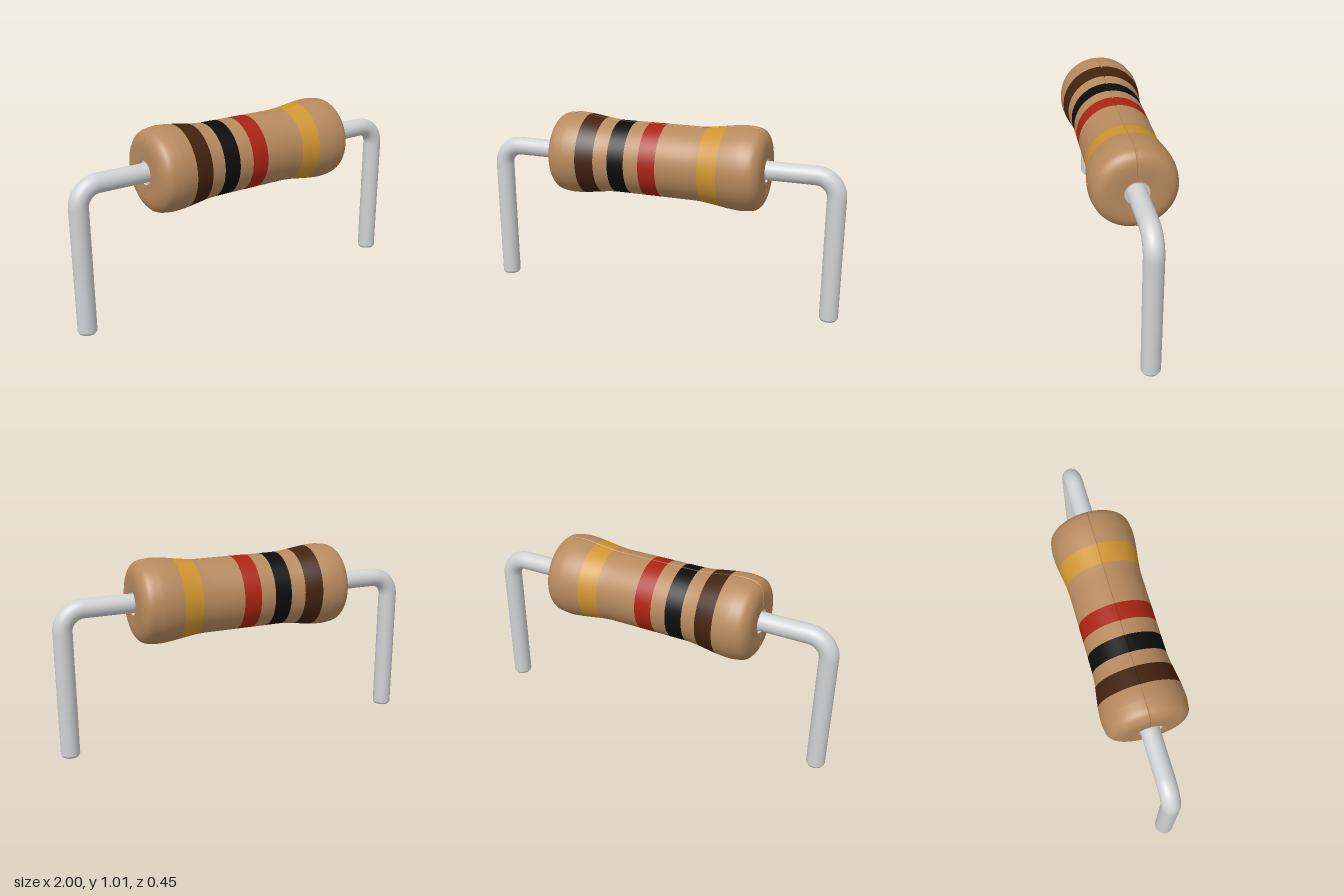
import * as THREE from 'three';

const AXIS_Y = 0.787;   // height of the body axis
const LEAD_R = 0.05;
const LEG_X = 0.95;
const BEND_R = 0.11;

function material(name, color) {
  const m = new THREE.MeshStandardMaterial({ color });
  m.name = name;
  return m;
}

// Radius of the barrel: narrow waist swelling towards the ends
function barrelRadius(x) {
  return 0.196 + 0.027 * THREE.MathUtils.smoothstep(Math.abs(x), 0.21, 0.48);
}

// Colour bands: start, end, material index
const BANDS = [
  [-0.405, -0.307, 1],
  [-0.229, -0.137, 2],
  [-0.056, 0.038, 3],
  [0.265, 0.37, 4],
];

// Profile [x, r] running from one end to the other
function bodyProfile() {
  const rounded = new THREE.SplineCurve([
    [0.588, 0.125], [0.584, 0.16], [0.569, 0.192], [0.54, 0.214], [0.48, 0.223],
  ].map(([x, r]) => new THREE.Vector2(x, r))).getPoints(20);
  // socket around the lead, flat face, rounded shoulder; doubled points keep a hard edge
  const end = [
    [0.574, 0.045], [0.574, 0.063], [0.574, 0.063], [0.586, 0.063], [0.586, 0.063],
    [0.588, 0.09], ...rounded.map((p) => [p.x, p.y]),
  ];
  const xs = BANDS.flatMap(([a, b]) => [a, b]);
  for (let i = -23; i <= 23; i++) xs.push(i * 0.02);
  xs.sort((a, b) => a - b);
  return [
    ...end.map(([x, r]) => [-x, r]),
    ...xs.map((x) => [x, barrelRadius(x)]),
    ...end.reverse(),
  ];
}

// Turned body with a fine moulding seam along its top and bottom
function bodyGeometry() {
  const half = [0, 0.018, 0.035];
  for (let i = 1; i <= 44; i++) half.push(0.035 + (i / 44) * (Math.PI - 0.07));
  half.push(Math.PI - 0.018);
  const angles = [...half, ...half.map((a) => a + Math.PI)];
  const n = angles.length;
  const profile = bodyProfile();
  const positions = [];
  const index = [];
  const geometry = new THREE.BufferGeometry();

  for (const [x, r] of profile) {
    for (const a of angles) {
      const groove = Math.abs(Math.sin(a)) < 1e-6 && r > 0.08 ? 0.008 : 0;
      const px = Math.abs(x) > 0.5 ? x - Math.sign(x) * groove : x;
      const pr = r - groove;
      positions.push(px, pr * Math.cos(a), pr * Math.sin(a));
    }
  }
  for (let i = 0; i < profile.length - 1; i++) {
    const start = index.length;
    for (let j = 0; j < n; j++) {
      const a = i * n + j;
      const b = i * n + (j + 1) % n;
      index.push(a, b, a + n, b, b + n, a + n);
    }
    const mid = (profile[i][0] + profile[i + 1][0]) / 2;
    const band = BANDS.find(([from, to]) => mid > from && mid < to);
    const socket = Math.max(profile[i][1], profile[i + 1][1]) < 0.07;
    geometry.addGroup(start, index.length - start, socket ? 5 : band ? band[2] : 0);
  }
  geometry.setAttribute('position', new THREE.Float32BufferAttribute(positions, 3));
  geometry.setIndex(index);
  geometry.computeVertexNormals();
  return geometry;
}

export function createModel() {
  const tan = material('tan body', 0xb78a5e);
  const brown = material('dark brown band', 0x44230f);
  const black = material('black band', 0x0d0d0d);
  const red = material('red band', 0xac2413);
  const gold = material('gold band', 0xcf9530);
  const metal = material('lead metal', 0xd0d1d3);

  const model = new THREE.Group();
  model.name = 'resistor';

  const body = new THREE.Mesh(bodyGeometry(), [tan, brown, black, red, gold, metal]);
  body.name = 'body';
  body.position.y = AXIS_Y;
  model.add(body);

  // Bent wire lead, built on +x and turned round for the other side
  function makeLead(name) {
    const lead = new THREE.Group();
    lead.name = name;
    const add = (partName, geometry, mat, x, y) => {
      const mesh = new THREE.Mesh(geometry, mat);
      mesh.name = partName;
      mesh.position.set(x, y, 0);
      lead.add(mesh);
      return mesh;
    };
    const bendX = LEG_X - BEND_R;
    const bendY = AXIS_Y - BEND_R;
    const innerX = 0.56;
    const tip = 0.012;

    add('wire', new THREE.CylinderGeometry(LEAD_R, LEAD_R, bendX - innerX, 32, 1, true),
      metal, (bendX + innerX) / 2, AXIS_Y).rotation.z = Math.PI / 2;
    add('bend', new THREE.TorusGeometry(BEND_R, LEAD_R, 32, 20, Math.PI / 2),
      metal, bendX, bendY);
    add('leg', new THREE.CylinderGeometry(LEAD_R, LEAD_R, bendY - tip, 32, 1, true),
      metal, LEG_X, (bendY + tip) / 2);
    add('legTip', new THREE.CylinderGeometry(LEAD_R, 0.043, tip, 32, 1, true),
      metal, LEG_X, tip / 2);
    add('cutEnd', new THREE.CircleGeometry(0.043, 32), tan, LEG_X, 0).rotation.x = Math.PI / 2;
    return lead;
  }

  const leftLead = makeLead('leftLead');
  const rightLead = makeLead('rightLead');
  rightLead.rotation.y = Math.PI;
  model.add(leftLead, rightLead);
  return model;
}
